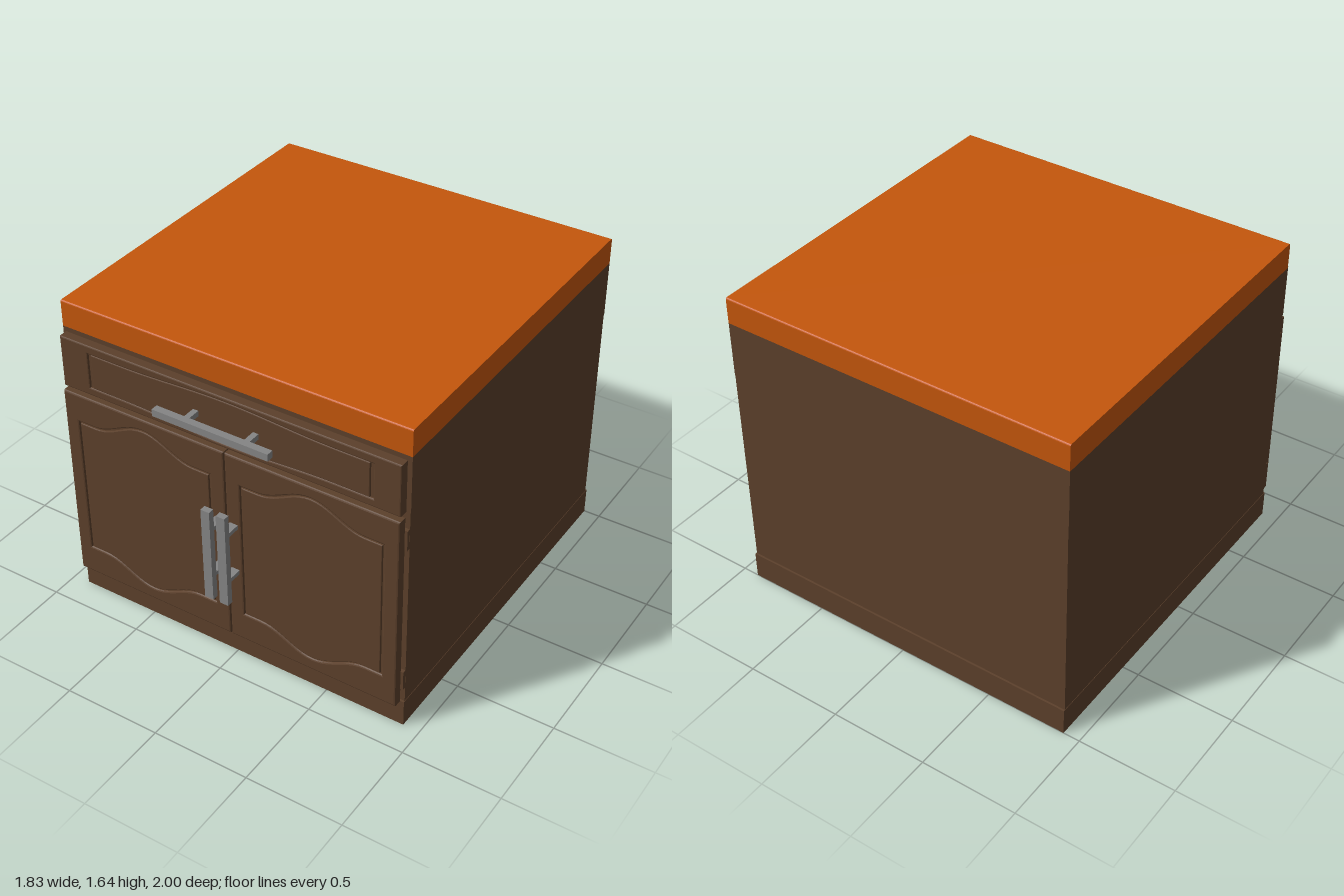
import * as THREE from 'three';

export function createModel() {
  const group = new THREE.Group();
  const material = (name, color) => {
    const m = new THREE.MeshStandardMaterial({ color });
    m.name = name;
    return m;
  };
  const wood = material('brown wood', 0x5c402b);
  const orange = material('orange worktop', 0xc4560c);
  const metal = material('grey metal', 0x858585);

  const add = (name, geometry, mat, parent = group) => {
    const mesh = new THREE.Mesh(geometry, mat);
    mesh.name = name;
    parent.add(mesh);
    return mesh;
  };
  // Box given by its minimum and maximum on each axis
  const box = (name, mat, x0, x1, y0, y1, z0, z1, parent = group) =>
    add(name, new THREE.BoxGeometry(x1 - x0, y1 - y0, z1 - z0), mat, parent)
      .position.set((x0 + x1) / 2, (y0 + y1) / 2, (z0 + z1) / 2);

  // Carcass
  box('plinth', wood, -0.915, 0.915, 0, 0.14, -1, 0.85);
  box('cupboardBody', wood, -0.913, 0.913, 0.14, 1.22, -0.99, 0.84);
  box('drawerBody', wood, -0.915, 0.915, 1.22, 1.51, -0.99, 0.84);

  // Worktop with softly rounded front and back edges
  const r = 0.01, z0 = -0.99, z1 = 0.84, y0 = 1.51, y1 = 1.645;
  const slab = new THREE.Shape();
  slab.moveTo(z0, y0);
  slab.lineTo(z1, y0);
  slab.lineTo(z1, y1 - r);
  slab.quadraticCurveTo(z1, y1, z1 - r, y1);
  slab.lineTo(z0 + r, y1);
  slab.quadraticCurveTo(z0, y1, z0, y1 - r);
  slab.closePath();
  const top = new THREE.ExtrudeGeometry(slab, { depth: 1.83, bevelEnabled: false, curveSegments: 4 });
  top.translate(0, 0, -0.915).rotateY(-Math.PI / 2);
  add('worktop', top, orange);

  // Panel outline: a rectangle whose top and bottom swell outward in the middle
  const outline = (p, insetX, insetY) => {
    const hw = p.w / 2 - insetX, hh = p.h / 2 - insetY, flat = 0.76 * hw;
    const points = [];
    for (const s of [-1, 1]) {
      points.push(new THREE.Vector2(s * hw, s * hh));
      for (let i = 0; i <= 20; i++) {
        const t = 1 - i / 10;
        const swell = p.arch * (0.5 + 0.5 * Math.cos(Math.PI * t));
        points.push(new THREE.Vector2(s * t * flat, s * (hh + swell)));
      }
      points.push(new THREE.Vector2(-s * hw, s * hh));
    }
    return new THREE.Shape(points.map(v => new THREE.Vector2(v.x + p.x, v.y + p.y)));
  };

  // Chamfered slab, never growing beyond its outline
  const chamfered = (shape, z0, z1, b) => {
    const g = new THREE.ExtrudeGeometry(shape, {
      depth: z1 - z0 - 2 * b, bevelThickness: b, bevelSize: b, bevelOffset: -b, bevelSegments: 2,
    });
    return g.translate(0, 0, z0 + b);
  };

  // Frame, groove floor and raised field make one carved front
  const carvedFront = (name, x0, x1, y0, y1, z0, z1, p) => {
    const front = new THREE.Group();
    front.name = name;
    group.add(front);
    const frame = new THREE.Shape([[x0, y0], [x1, y0], [x1, y1], [x0, y1]].map(c => new THREE.Vector2(...c)));
    frame.holes.push(outline(p, 0.003, 0.003));
    add('frame', chamfered(frame, z0, z1, p.bevel), wood, front);
    box('grooveFloor', wood, x0 + 0.012, x1 - 0.012, y0 + 0.012, y1 - 0.012, z0 + 0.002, z1 - 0.012, front);
    add('raisedPanel', chamfered(outline(p, p.gx, p.gy), z0 + 0.005, z1 - 0.001, 0.004), wood, front);
  };

  carvedFront('drawerFront', -0.895, 0.895, 1.223, 1.49, 0.84, 0.892,
    { x: 0.01, y: 1.355, w: 1.51, h: 0.19, arch: 0.023, gx: 0.022, gy: 0.005, bevel: 0.006 });

  for (const s of [1, -1]) {
    const side = s > 0 ? 'left' : 'right';
    const span = (a, b) => (s > 0 ? [a, b] : [-b, -a]);
    carvedFront(side + 'Door', ...span(0.003, 0.898), 0.145, 1.2, 0.85, 0.9,
      { x: s * 0.452, y: 0.675, w: 0.75, h: 0.755, arch: 0.092, gx: 0.013, gy: 0.011, bevel: 0.008 });

    // Hinges bridge the gap between door and body
    for (const y of [0.275, 1.08])
      box(side + 'Hinge', wood, ...span(0.885, 0.912), y - 0.053, y + 0.053, 0.838, 0.858);

    // Upright door handle on two posts
    box(side + 'DoorHandle', metal, ...span(0.018, 0.065), 0.42, 0.925, 0.968, 1);
    for (const y of [0.55, 0.812])
      box(side + 'DoorHandlePost', metal, ...span(0.02, 0.063), y - 0.011, y + 0.011, 0.895, 0.97);
  }

  // Drawer handle on two posts
  box('drawerHandle', metal, -0.305, 0.305, 1.338, 1.374, 0.96, 0.996);
  for (const x of [-0.145, 0.172])
    box('drawerHandlePost', metal, x - 0.014, x + 0.014, 1.342, 1.37, 0.885, 0.962);

  return group;
}
